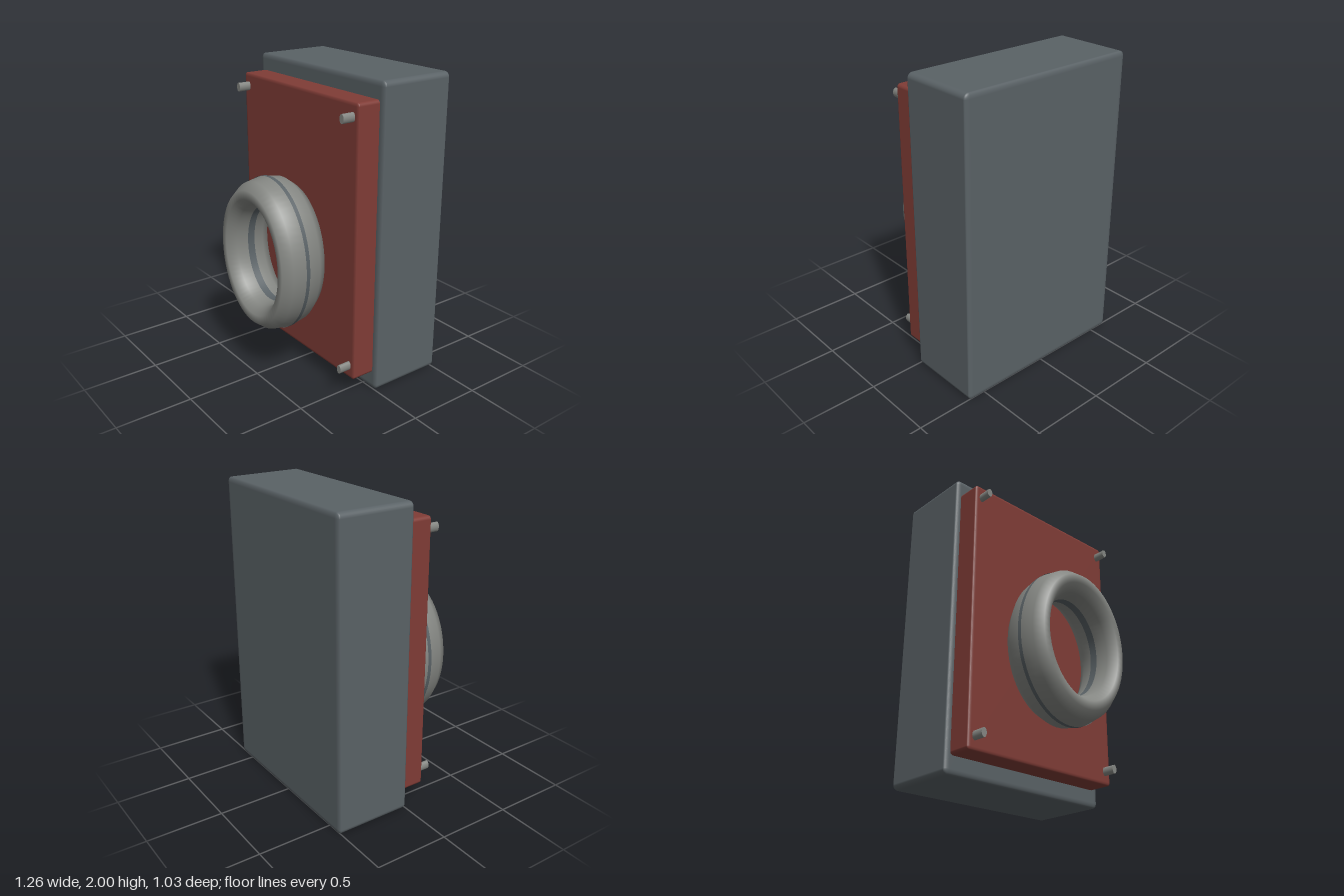
import * as THREE from 'three';
import { RoundedBoxGeometry } from 'three/addons/geometries/RoundedBoxGeometry.js';

export function createModel() {
  const model = new THREE.Group();
  const slate = new THREE.MeshStandardMaterial({ name: 'slate', color: 0x5a6266 });
  const slateBand = slate.clone();
  slateBand.side = THREE.DoubleSide;
  const red = new THREE.MeshStandardMaterial({ name: 'brickRed', color: 0x803c36 });
  const metal = new THREE.MeshStandardMaterial({ name: 'metalGrey', color: 0x858783 });

  const add = (name, geometry, material, x, y, z) => {
    const mesh = new THREE.Mesh(geometry, material);
    mesh.name = name;
    mesh.position.set(x, y, z);
    model.add(mesh);
    return mesh;
  };

  // Rounded slab whose edge rounding is flattened along the depth
  const slab = (w, h, d, r) => new RoundedBoxGeometry(w, h, d * 2, 3, r).scale(1, 1, 0.5);

  // Housing and front plate
  add('housing', slab(1.26, 2, 0.515, 0.035), slate, 0, 1, -0.2575);
  add('frontPlate', slab(1.185, 1.775, 0.165, 0.022), red, -0.002, 1.0025, 0.0725);

  // Oval ring standing off the plate
  const tall = 1.287;
  const ring = new THREE.TorusGeometry(0.3225, 0.0725, 10, 64).scale(1, tall, 2.32);
  add('ring', ring, metal, -0.002, 0.842, 0.358);

  // Thin seam bands around the middle of the ring, outside and inside
  const band = (radius, width) =>
    new THREE.CylinderGeometry(radius, radius, width, 64, 1, true)
      .rotateX(Math.PI / 2).scale(1, tall, 1);
  add('outerSeam', band(0.3955, 0.026), slateBand, -0.002, 0.842, 0.358);
  add('innerSeam', band(0.2485, 0.05), slateBand, -0.002, 0.842, 0.358);

  // Corner pins
  for (const x of [-0.545, 0.542]) {
    for (const y of [0.203, 1.805]) {
      const pin = new THREE.CylinderGeometry(0.019, 0.019, 0.1, 12)
        .rotateX(Math.PI / 2).scale(1, 1.55, 1);
      add('cornerPin', pin, metal, x, y, 0.187);
    }
  }
  return model;
}
